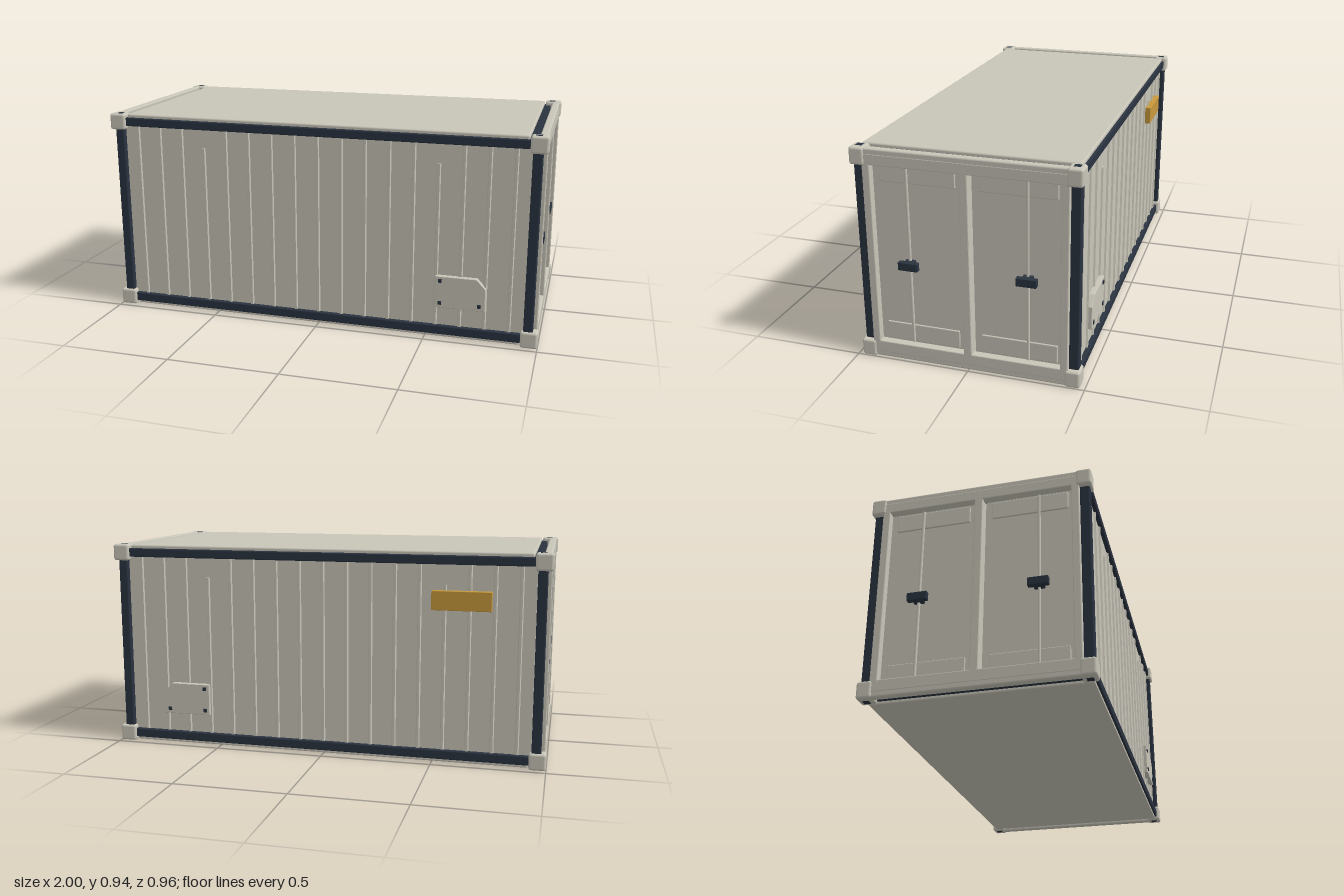
import * as THREE from 'three';
import { RoundedBoxGeometry } from 'three/addons/geometries/RoundedBoxGeometry.js';

const material = (name, color) => Object.assign(new THREE.MeshStandardMaterial({ color }), { name });

export function createModel() {
  const beige = material('beige paint', 0xc8c5b8);
  const navy = material('navy paint', 0x2a3340);
  const gold = material('gold plate', 0xc8993c);
  const model = new THREE.Group();
  model.name = 'shippingContainer';

  const add = (parent, name, geometry, mat) => {
    const mesh = new THREE.Mesh(geometry, mat);
    mesh.name = name;
    parent.add(mesh);
    return mesh;
  };
  // Box given by its limits on each axis; r rounds the edges
  const box = (parent, name, mat, [x0, x1], [y0, y1], [z0, z1], r = 0) => {
    const size = [x1 - x0, y1 - y0, z1 - z0];
    const g = r ? new RoundedBoxGeometry(...size, 3, r) : new THREE.BoxGeometry(...size);
    const mesh = add(parent, name, g, mat);
    mesh.position.set((x0 + x1) / 2, (y0 + y1) / 2, (z0 + z1) / 2);
    return mesh;
  };
  const outline = (points) => new THREE.Shape(points.map(([x, y]) => new THREE.Vector2(x, y)));
  const rectangle = (x0, x1, y0, y1) => [[x0, y0], [x1, y0], [x1, y1], [x0, y1]];

  // Body, roof and floor
  box(model, 'body', beige, [-0.935, 0.935], [0.02, 0.92], [-0.449, 0.449]);
  box(model, 'roof', beige, [-0.92, 0.92], [0.9, 0.938], [-0.457, 0.457], 0.008);
  box(model, 'floor', beige, [-0.92, 0.92], [0.003, 0.04], [-0.457, 0.457], 0.006);

  // Corner castings with square sockets, and corner posts
  for (const sx of [-1, 1]) for (const sz of [-1, 1]) {
    for (const y of [0, 0.865]) {
      const casting = box(model, 'cornerCasting', beige,
        [-0.0375, 0.0375], [0, 0.075], [-0.0325, 0.0325], 0.011);
      casting.position.set(sx * 0.9625, y + 0.0375, sz * 0.4475);
      const socketY = y ? 0.939 : 0.001;
      const socket = box(model, 'castingSocket', navy,
        [-0.014, 0.014], [-0.0015, 0.0015], [-0.014, 0.014]);
      socket.position.set(sx * 0.957, socketY, sz * 0.448);
    }
    const post = box(model, 'cornerPost', navy,
      [-0.021, 0.021], [0.06, 0.88], [-0.021, 0.021], 0.006);
    post.position.set(sx * 0.957, 0.47, sz * 0.449);
  }

  // Long sides: rails, ribs and a bolted access plate
  for (const s of [1, -1]) {
    const side = new THREE.Group();
    side.name = s > 0 ? 'frontSide' : 'backSide';
    if (s < 0) side.rotation.y = Math.PI;
    model.add(side);
    box(side, 'topRail', navy, [-0.928, 0.928], [0.882, 0.922], [0.435, 0.467], 0.006);
    box(side, 'bottomRail', navy, [-0.928, 0.928], [0.016, 0.058], [0.435, 0.467], 0.006);

    const ribSection = outline([[-0.009, 0], [0.009, 0], [0.005, -0.008], [-0.005, -0.008]]);
    for (let n = -8; n <= 8; n++) {
      const top = Math.abs(n) === 5 ? 0.795 : 0.885;
      const g = new THREE.ExtrudeGeometry(ribSection, { depth: top - 0.05, bevelEnabled: false });
      g.rotateX(-Math.PI / 2);
      add(side, 'wallRib', g, beige).position.set(n * 0.109, 0.05, 0.449);
    }
    const plate = outline([[0.545, 0.147], [0.768, 0.147], [0.768, 0.25], [0.728, 0.293], [0.545, 0.293]]
      .map(([x, y]) => [s * x, y]));
    const plateGeometry = new THREE.ExtrudeGeometry(plate, {
      depth: 0.021, bevelSize: 0.002, bevelThickness: 0.002, bevelOffset: -0.002, bevelSegments: 1,
    });
    add(side, 'accessPlate', plateGeometry, beige).position.z = 0.45;
    for (const [x, y] of [[0.567, 0.273], [0.567, 0.17], [0.742, 0.17]]) {
      box(side, 'plateBolt', navy, [s * x - 0.008, s * x + 0.008], [y - 0.008, y + 0.008], [0.47, 0.477]);
    }
  }
  box(model, 'namePlate', gold, [-0.75, -0.49], [0.685, 0.77], [-0.477, -0.448], 0.003);

  // Door frame outline with two openings
  const frameShape = outline(rectangle(-0.428, 0.428, 0.025, 0.916));
  for (const [z0, z1] of [[-0.395, -0.018], [0.018, 0.395]]) {
    frameShape.holes.push(new THREE.Path(outline(rectangle(z0, z1, 0.077, 0.868)).getPoints()));
  }
  const frameGeometry = new THREE.ExtrudeGeometry(frameShape, {
    depth: 0.028, bevelSize: 0.004, bevelThickness: 0.004, bevelOffset: -0.004, bevelSegments: 2,
  });
  frameGeometry.rotateY(Math.PI / 2);

  // Both ends: frame, beams, doors, locking bars and handles
  for (const s of [1, -1]) {
    const end = new THREE.Group();
    end.name = s > 0 ? 'leftEnd' : 'rightEnd';
    if (s < 0) end.rotation.y = Math.PI;
    model.add(end);
    add(end, 'doorFrame', frameGeometry, beige).position.x = 0.962;
    box(end, 'topBeam', beige, [0.958, 0.993], [0.88, 0.938], [-0.425, 0.425], 0.008);
    box(end, 'bottomBeam', beige, [0.958, 0.993], [0.003, 0.06], [-0.425, 0.425], 0.008);
    box(end, 'topEndRail', navy, [0.915, 0.949], [0.88, 0.922], [-0.42, 0.42], 0.004);
    box(end, 'bottomEndRail', navy, [0.915, 0.949], [0.016, 0.058], [-0.42, 0.42], 0.004);
    box(end, 'centreStop', beige, [0.93, 0.96], [0.06, 0.88], [-0.017, 0.017]);

    for (const d of [-1, 1]) {
      const z = d * 0.21;
      box(end, 'door', beige, [0.92, 0.948], [0.06, 0.88], [z - 0.19, z + 0.19]);
      for (const [y0, y1] of [[0.075, 0.155], [0.79, 0.87]]) {
        box(end, 'doorPanel', beige, [0.94, 0.954], [y0, y1], [d * 0.2115 - 0.163, d * 0.2115 + 0.163], 0.004);
      }
      const bar = add(end, 'lockingBar', new THREE.CylinderGeometry(0.0065, 0.0065, 0.8, 12), beige);
      bar.position.set(0.96, 0.472, d * 0.253);
      box(end, 'handleClamp', navy, [0.948, 0.975], [0.421, 0.457], [d * 0.253 - 0.022, d * 0.253 + 0.022], 0.003);
      box(end, 'handle', navy, [0.968, 0.992], [0.421, 0.457], [d * 0.253 - 0.043, d * 0.253 + 0.043], 0.003);
    }
  }
  return model;
}
